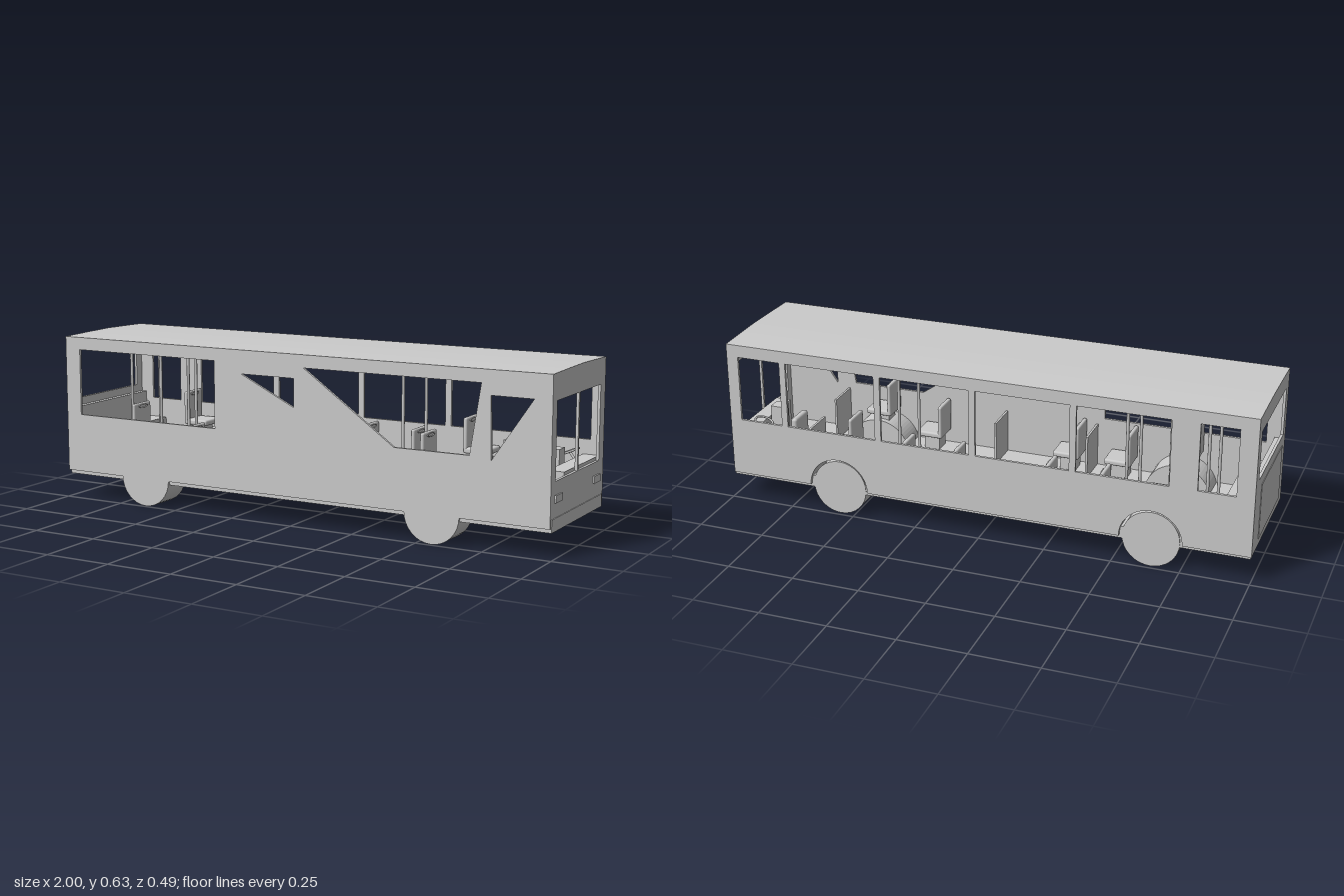
import * as THREE from 'three';
import { RoundedBoxGeometry } from 'three/addons/geometries/RoundedBoxGeometry.js';

const X0 = -1, X1 = 0.99, Z0 = -0.245, Z1 = 0.24, BOTTOM = 0.104, TOP = 0.622, WALL = 0.01;
const AXLES = [-0.64, 0.555];

export function createModel() {
  const bus = new THREE.Group();
  bus.name = 'bus';
  const mat = new THREE.MeshStandardMaterial({ color: 0xcccccc, side: THREE.DoubleSide });

  const add = (name, geo, x = 0, y = 0, z = 0, parent = bus) => {
    const m = new THREE.Mesh(geo, mat);
    m.name = name;
    m.position.set(x, y, z);
    parent.add(m);
    return m;
  };
  // Box given by its lower and upper corners
  const box = (name, x0, x1, y0, y1, z0, z1, parent = bus) =>
    add(name, new THREE.BoxGeometry(x1 - x0, y1 - y0, z1 - z0),
      (x0 + x1) / 2, (y0 + y1) / 2, (z0 + z1) / 2, parent);
  const poly = pts => pts.map(p => new THREE.Vector2(p[0], p[1]));
  const rect = (a, b, c, d) => poly([[a, c], [b, c], [b, d], [a, d]]);
  const panel = (outline, holes, depth = WALL) => {
    const s = outline instanceof THREE.Shape ? outline : new THREE.Shape(outline);
    holes.forEach(h => s.holes.push(new THREE.Path(h)));
    return new THREE.ExtrudeGeometry(s, { depth, bevelEnabled: false, curveSegments: 16 });
  };
  // Round bar between two points
  const bar = (name, a, b, r = 0.005, parent = bus) => {
    const p = new THREE.Vector3(...a), q = new THREE.Vector3(...b);
    const m = add(name, new THREE.CylinderGeometry(r, r, p.distanceTo(q), 8), 0, 0, 0, parent);
    m.position.copy(p).add(q).multiplyScalar(0.5);
    m.quaternion.setFromUnitVectors(new THREE.Vector3(0, 1, 0), q.sub(p).normalize());
    return m;
  };

  // Door side wall, with slanted window openings
  add('doorSideWall', panel(rect(X0, X1, BOTTOM, TOP), [
    rect(-0.935, -0.325, 0.325, 0.575),
    poly([[-0.21, 0.535], [0.01, 0.535], [0.01, 0.43]]),
    poly([[0.05, 0.575], [0.735, 0.575], [0.695, 0.325], [0.41, 0.325]]),
    poly([[0.77, 0.535], [0.925, 0.535], [0.775, 0.315]]),
  ]), 0, 0, Z1 - WALL);

  // Driver side wall, with a long window strip and wheel arches
  const side = new THREE.Shape();
  side.moveTo(X0, BOTTOM);
  AXLES.forEach(x => {
    side.lineTo(x - 0.115, BOTTOM);
    side.absarc(x, 0.105, 0.115, Math.PI, 0, true);
    side.lineTo(x + 0.115, BOTTOM);
  });
  side.lineTo(X1, BOTTOM);
  side.lineTo(X1, TOP);
  side.lineTo(X0, TOP);
  const posts = [-0.75, -0.35, 0.025, 0.39, 0.765];
  const edges = [-0.935, ...posts.flatMap(p => {
    const w = p === -0.75 ? 0.05 : 0.012;
    return [p - w, p + w];
  }), 0.945];
  const windows = [];
  for (let i = 0; i < edges.length; i += 2) windows.push(rect(edges[i], edges[i + 1], 0.325, 0.575));
  add('driverSideWall', panel(side, windows), 0, 0, Z0);

  // End walls, drawn across z and turned to face along x
  const endWall = (name, x, hole) => {
    const m = add(name, panel(rect(-Z1, -Z0, BOTTOM, TOP), [hole]), x, 0, 0);
    m.rotation.y = Math.PI / 2;
  };
  endWall('windscreenWall', X1 - WALL, rect(-0.2, 0.2, 0.26, 0.53));
  endWall('rearWall', X0, rect(-0.2, 0.2, 0.378, 0.56));
  box('windscreenDivider', X1 - WALL, X1, 0.26, 0.53, -0.005, 0.005);
  box('engineCover', X0 - 0.002, X0, 0.13, 0.34, -0.15, 0.19);
  [-1, 1].forEach(s => {
    const l = box('headlight', X1, X1 + 0.006, 0.187, 0.213, -0.029, 0.029);
    l.position.z = s * 0.177;
  });

  // Slightly crowned roof
  const roof = add('roof', panel(poly([
    [-Z1, 0.61], [-Z0, 0.61], [-Z0, TOP], [0.12, 0.625], [0.03, 0.627], [-0.11, 0.625], [-Z1, TOP],
  ]), [], X1 - X0), X0, 0, 0);
  roof.rotation.y = Math.PI / 2;

  // Floor and recessed skirt
  box('underbody', X0 + 0.005, X1 + 0.003, 0.09, 0.135, -0.232, 0.232);

  // Wheels, with rounded housings inside the cabin
  AXLES.forEach(x => [[-0.235, -0.117], [0.127, 0.24]].forEach(([a, b]) => {
    const w = add('wheel', new THREE.CylinderGeometry(0.105, 0.105, b - a, 32), x, 0.105, (a + b) / 2);
    w.rotation.x = Math.PI / 2;
    const h = new THREE.Shape();
    h.absarc(0, 0, 0.125, 0, Math.PI, false);
    h.absarc(0, 0, 0.115, Math.PI, 0, true);
    add('wheelHousing', panel(h, [], b - a), x, 0.105, a);
    const cap = new THREE.Shape();
    cap.absarc(0, 0, 0.125, 0, Math.PI, false);
    add('wheelHousingSide', panel(cap, [], 0.004), x, 0.105, a < 0 ? b : a - 0.004);
  }));

  // Passenger seat: cushion, back with a hand grip, pedestal
  const seat = (x, z, base, top) => {
    const g = new THREE.Group();
    g.name = 'passengerSeat';
    g.position.set(x, 0, z);
    bus.add(g);
    const c = top - 0.12;
    add('cushion', new RoundedBoxGeometry(0.1, 0.022, 0.105, 2, 0.008), 0.045, c, 0, g);
    add('backrest', new RoundedBoxGeometry(0.016, 0.13, 0.105, 2, 0.007), 0, top - 0.065, 0, g);
    const grip = add('grip', new THREE.TorusGeometry(0.025, 0.003, 6, 20), 0.009, top - 0.012, 0, g);
    grip.rotation.y = Math.PI / 2;
    grip.scale.y = 0.25;
    box('pedestal', 0.01, 0.07, base, c, -0.03, 0.03, g);
  };
  [-1, 1].forEach(s => {
    [-0.7, 0.51].forEach(x => seat(x, s * 0.175, 0.2, 0.382));
    [-0.45, -0.25, 0.3].forEach(x => seat(x, s * 0.175, 0.13, 0.32));
  });
  seat(0.1, -0.175, 0.13, 0.32);

  // Rear bench
  box('rearBench', -0.985, -0.87, 0.135, 0.25, -0.23, 0.23);
  box('rearBenchBack', -0.985, -0.965, 0.25, 0.35, -0.23, 0.23);

  // Grab poles and ceiling rails
  [-1, 1].forEach(s => {
    [-0.8, -0.665, -0.505, 0.37].forEach(x =>
      bar('grabPole', [x, 0.135, s * 0.092], [x, 0.61, s * 0.092], 0.006));
    bar('ceilingRail', [-0.9, 0.592, s * 0.092], [0.7, 0.592, s * 0.092]);
  });
  // Door partitions
  [-0.3, 0.06, 0.72].forEach(x => box('doorPartition', x, x + 0.008, 0.135, 0.3, 0.1, 0.23));

  // Driver's cab
  box('dashboard', 0.92, 0.98, 0.135, 0.272, -0.23, 0.1);
  box('fareBox', 0.86, 0.91, 0.135, 0.32, -0.08, -0.03);
  box('cabPartition', 0.67, 0.678, 0.135, 0.32, -0.235, -0.1);
  box('driverSeatBase', 0.74, 0.82, 0.135, 0.22, -0.2, -0.13);
  add('driverCushion', new RoundedBoxGeometry(0.1, 0.03, 0.1, 2, 0.01), 0.79, 0.23, -0.165);
  add('driverBackrest', new RoundedBoxGeometry(0.025, 0.12, 0.1, 2, 0.01), 0.745, 0.285, -0.165);
  const wheel = add('steeringWheel', new THREE.TorusGeometry(0.035, 0.004, 8, 24), 0.895, 0.29, -0.165);
  wheel.rotation.set(Math.PI / 2, 0.4, 0);
  bar('steeringColumn', [0.895, 0.29, -0.165], [0.93, 0.24, -0.165]);

  return bus;
}
